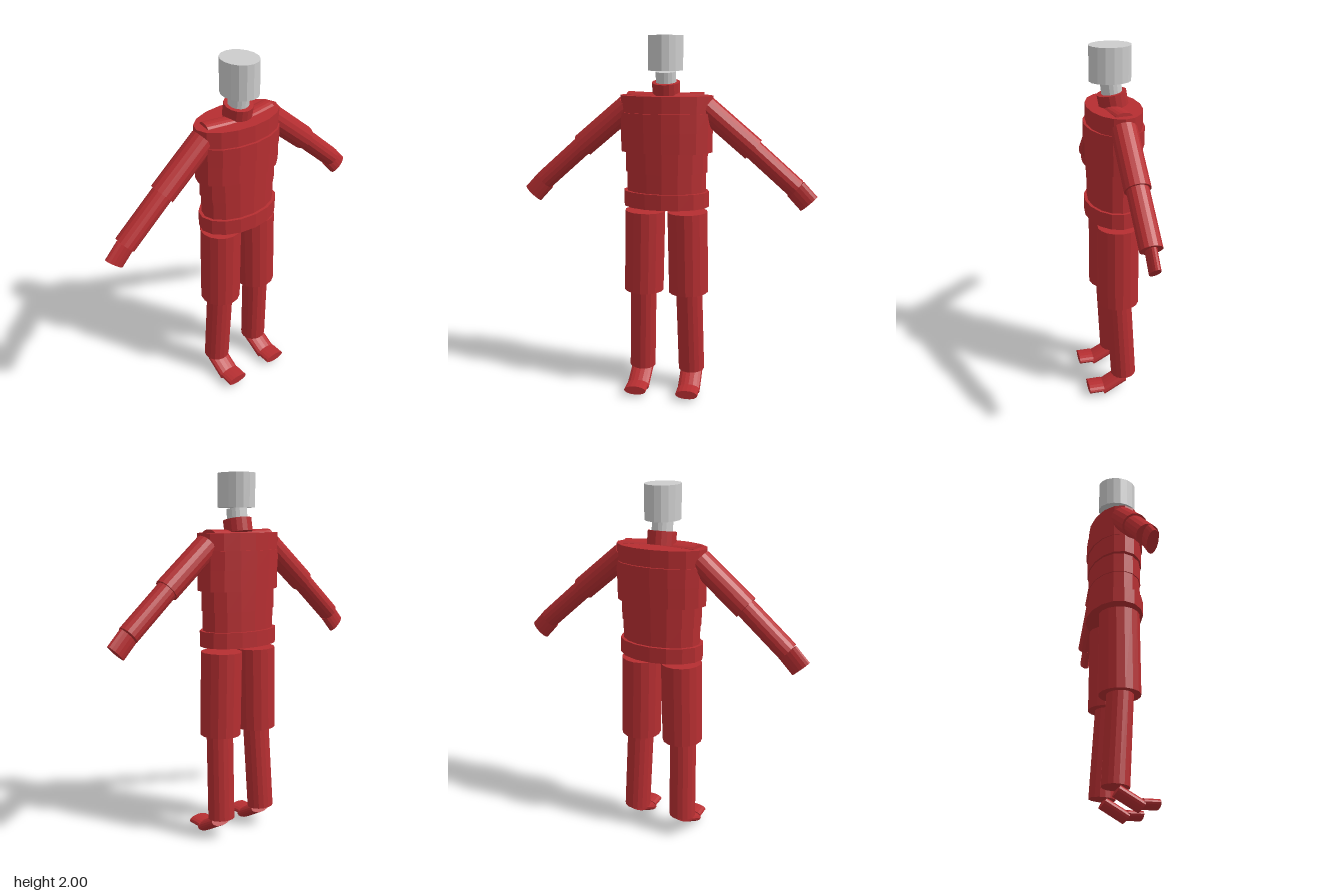
import * as THREE from 'three';

const red = new THREE.MeshStandardMaterial({ color: 0xb62e31, flatShading: true });
red.name = 'suitRed';
const grey = new THREE.MeshStandardMaterial({ color: 0xcccccc, flatShading: true });
grey.name = 'headGrey';

const SIDES = 16;

// Elliptical cylinder from point a to point b; depth is the half-size nearest the ref direction
function segment(name, a, b, width, depth, material = red) {
  const start = new THREE.Vector3(...a);
  const end = new THREE.Vector3(...b);
  const dir = end.clone().sub(start);
  const length = dir.length();
  dir.normalize();
  const ref = Math.abs(dir.z) > 0.7 ? new THREE.Vector3(0, 1, 0) : new THREE.Vector3(0, 0, 1);
  const xAxis = dir.clone().cross(ref).normalize();
  const zAxis = xAxis.clone().cross(dir);
  const geometry = new THREE.CylinderGeometry(1, 1, length, SIDES);
  geometry.scale(width, 1, depth);
  const mesh = new THREE.Mesh(geometry, material);
  mesh.name = name;
  mesh.quaternion.setFromRotationMatrix(new THREE.Matrix4().makeBasis(xAxis, dir, zAxis));
  mesh.position.copy(start).add(end).multiplyScalar(0.5);
  return mesh;
}

export function createModel() {
  const model = new THREE.Group();
  model.name = 'mannequin';

  // Head, neck and tilted collar
  model.add(
    segment('head', [0, 1.82, 0.005], [0, 2, 0.005], 0.093, 0.11, grey),
    segment('neck', [0, 1.73, -0.008], [0, 1.815, 0.003], 0.055, 0.055, grey),
    segment('collar', [0, 1.69, -0.015], [0, 1.76, -0.002], 0.075, 0.078),
  );

  // Torso as stacked bands: bottom, top, half-width, half-depth, centre z
  const torso = new THREE.Group();
  torso.name = 'torso';
  const bands = [
    ['pelvis', 1.09, 1.175, 0.237, 0.155, -0.012],
    ['waist', 1.175, 1.28, 0.22, 0.139, -0.012],
    ['abdomen', 1.28, 1.395, 0.227, 0.142, -0.012],
    ['lowerChest', 1.39, 1.5, 0.252, 0.147, -0.013],
    ['middleChest', 1.5, 1.6, 0.254, 0.155, -0.012],
    ['upperChest', 1.6, 1.69, 0.253, 0.142, -0.013],
  ];
  for (const [name, y0, y1, w, d, z] of bands) {
    torso.add(segment(name, [0, y0, z], [0, y1, z], w, d));
  }
  model.add(torso);

  // Limbs, mirrored on both sides
  for (const [side, s] of [['left', 1], ['right', -1]]) {
    const arm = new THREE.Group();
    arm.name = side + 'Arm';
    arm.add(
      segment('collarBone', [0, 1.677, 0.01], [s * 0.205, 1.683, -0.019], 0.026, 0.048),
      segment('upperArm', [s * 0.212, 1.627, -0.015], [s * 0.471, 1.41, -0.017], 0.066, 0.067),
      segment('forearm', [s * 0.465, 1.415, -0.017], [s * 0.702, 1.207, -0.02], 0.055, 0.057),
      segment('hand', [s * 0.7, 1.205, -0.019], [s * 0.774, 1.126, -0.019], 0.058, 0.027),
    );
    const leg = new THREE.Group();
    leg.name = side + 'Leg';
    leg.add(
      segment('thigh', [s * 0.118, 1.058, -0.012], [s * 0.128, 0.597, -0.012], 0.112, 0.112),
      segment('shin', [s * 0.132, 0.6, -0.012], [s * 0.145, 0.117, -0.039], 0.075, 0.072),
      segment('foot', [s * 0.146, 0.1, -0.036], [s * 0.148, 0.028, 0.092], 0.064, 0.031),
      segment('toes', [s * 0.148, 0.043, 0.088], [s * 0.148, 0.043, 0.172], 0.063, 0.025),
    );
    model.add(arm, leg);
  }

  return model;
}
